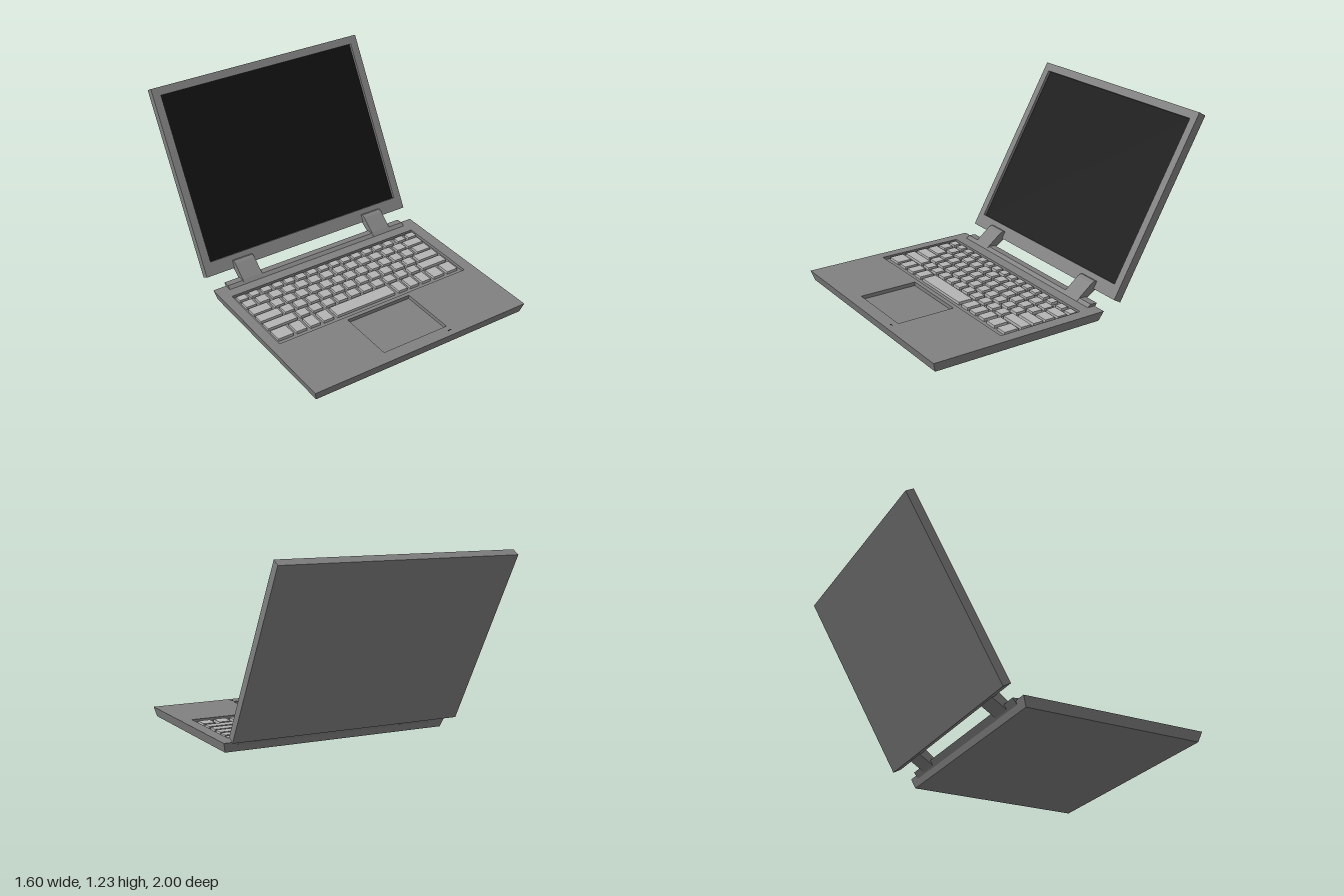
import * as THREE from 'three';

const mat = (color) => new THREE.MeshStandardMaterial({ color, flatShading: true });
const bodyMat = mat(0x808080), keyMat = mat(0xb4b4b4), screenMat = mat(0x111111);

function add(parent, name, geometry, material = bodyMat) {
  const mesh = new THREE.Mesh(geometry, material);
  mesh.name = name;
  parent.add(mesh);
  return mesh;
}

// Box given by its limits on each axis
function boxBetween(parent, name, [x0, x1], [y0, y1], [z0, z1], material) {
  const mesh = add(parent, name, new THREE.BoxGeometry(x1 - x0, y1 - y0, z1 - z0), material);
  mesh.position.set((x0 + x1) / 2, (y0 + y1) / 2, (z0 + z1) / 2);
  return mesh;
}

const rectPoints = (x0, x1, y0, y1) =>
  [[x0, y0], [x1, y0], [x1, y1], [x0, y1]].map(([x, y]) => new THREE.Vector2(x, y));

// Rectangular plate with rectangular openings, extruded along z
function framePlate(outer, holes, depth) {
  const shape = new THREE.Shape(rectPoints(...outer));
  holes.forEach((h) => shape.holes.push(new THREE.Path(rectPoints(...h).reverse())));
  return new THREE.ExtrudeGeometry(shape, { depth, bevelEnabled: false });
}

// Side profile of [z, y] points, extruded across x
function profileAcross(points, x0, x1) {
  const shape = new THREE.Shape(points.map(([z, y]) => new THREE.Vector2(-z, y)));
  const geo = new THREE.ExtrudeGeometry(shape, { depth: x1 - x0, bevelEnabled: false });
  return geo.rotateY(Math.PI / 2).translate(x0, 0, 0);
}

const TOP = 0.065, FRONT = 1, BACK = -0.235, HALF = 0.8;
const KEYBED = { x: [-0.73, 0.72], z: [-0.11, 0.485] };
const PAD = { x: [-0.245, 0.235], z: [0.515, 0.91] };

// Base: plate with two wells, its outer walls drawn in towards the bottom
function buildBase() {
  const base = new THREE.Group();
  base.name = 'base';
  const hole = ({ x, z }) => [x[0], x[1], -z[1], -z[0]];
  const geo = framePlate([-HALF, HALF, -FRONT, -BACK], [hole(KEYBED), hole(PAD)], TOP);
  geo.rotateX(-Math.PI / 2);
  const p = geo.attributes.position;
  for (let i = 0; i < p.count; i++) {
    if (p.getY(i) > 0.01) continue;
    const x = p.getX(i), z = p.getZ(i);
    if (Math.abs(x) > HALF - 0.001) p.setX(i, Math.sign(x) * 0.782);
    if (z > FRONT - 0.001) p.setZ(i, 0.98);
    if (z < BACK + 0.001) p.setZ(i, -0.21);
  }
  geo.computeVertexNormals();
  add(base, 'baseShell', geo);
  boxBetween(base, 'keyboardWell', KEYBED.x, [0, 0.044], KEYBED.z);
  boxBetween(base, 'trackpad', PAD.x, [0, 0.04], PAD.z);
  boxBetween(base, 'indicator', [0.217, 0.239], [0.06, 0.066], [0.95, 0.957], screenMat);
  return base;
}

// Keys: each row is a z range and runs of [start x, end x, key count]
const KEY_ROWS = [
  { z: [-0.092, -0.042], runs: [[-0.71, 0.515, 14], [0.555, 0.71, 2]] },
  { z: [-0.022, 0.046], runs: [[-0.71, 0.56, 13], [0.575, 0.70, 1]] },
  { z: [0.065, 0.137], runs: [[-0.71, -0.575, 1], [-0.55, 0.56, 12], [0.59, 0.695, 1]] },
  { z: [0.155, 0.226], runs: [[-0.71, -0.55, 1], [-0.53, 0.51, 11], [0.535, 0.695, 1]] },
  { z: [0.247, 0.316], runs: [[-0.71, -0.495, 1], [-0.47, 0.475, 10], [0.50, 0.695, 1]] },
  { z: [0.34, 0.44], runs: [[-0.71, -0.6, 1], [-0.575, -0.30, 3], [-0.27, 0.18, 1],
    [0.21, 0.47, 3], [0.50, 0.695, 2]] },
];

function buildKeyboard() {
  const keyboard = new THREE.Group();
  keyboard.name = 'keyboard';
  const gap = 0.027;
  for (const { z, runs } of KEY_ROWS) {
    for (const [x0, x1, count] of runs) {
      const pitch = (x1 - x0 + gap) / count;
      for (let i = 0; i < count; i++) {
        const x = x0 + i * pitch;
        boxBetween(keyboard, 'key', [x, x + pitch - gap], [0.04, 0.063], z, keyMat);
      }
    }
  }
  return keyboard;
}

// Hinge: long bar on the back edge and two arms reaching up to the lid
function buildHinge() {
  const hinge = new THREE.Group();
  hinge.name = 'hinge';
  const bar = [[-0.18, 0.062], [-0.205, 0.084], [-0.255, 0.08], [-0.225, 0.04]];
  add(hinge, 'hingeBar', profileAcross(bar, -0.705, 0.705));
  const arm = [[-0.185, 0.068], [-0.205, 0.088], [-0.30, 0.162], [-0.325, 0.172], [-0.342, 0.166],
    [-0.355, 0.125], [-0.32, 0.105], [-0.225, 0.045]];
  for (const side of [-1, 1]) {
    const x = side * 0.52;
    add(hinge, 'hingeArm', profileAcross(arm, x - 0.073, x + 0.073));
  }
  return hinge;
}

// Lid: frame around a sunken screen, closed by a back panel, leaning back
function buildLid() {
  const lid = new THREE.Group();
  lid.name = 'lid';
  const thick = 0.058, sunk = 0.02, height = 1.283;
  const frame = framePlate([-HALF, HALF, 0, height], [[-0.745, 0.745, 0.09, 1.228]], thick);
  add(lid, 'lidFrame', frame.translate(0, 0, -thick));
  boxBetween(lid, 'screen', [-0.745, 0.745], [0.09, 1.228], [-0.04, -sunk], screenMat);
  boxBetween(lid, 'lidBackPanel', [-0.745, 0.745], [0.09, 1.228], [-thick, -0.04]);
  lid.position.set(0, 0.12, -0.315);
  lid.rotation.x = -0.518;
  return lid;
}

export function createModel() {
  const model = new THREE.Group();
  model.name = 'laptop';
  model.add(buildBase(), buildKeyboard(), buildHinge(), buildLid());
  return model;
}
